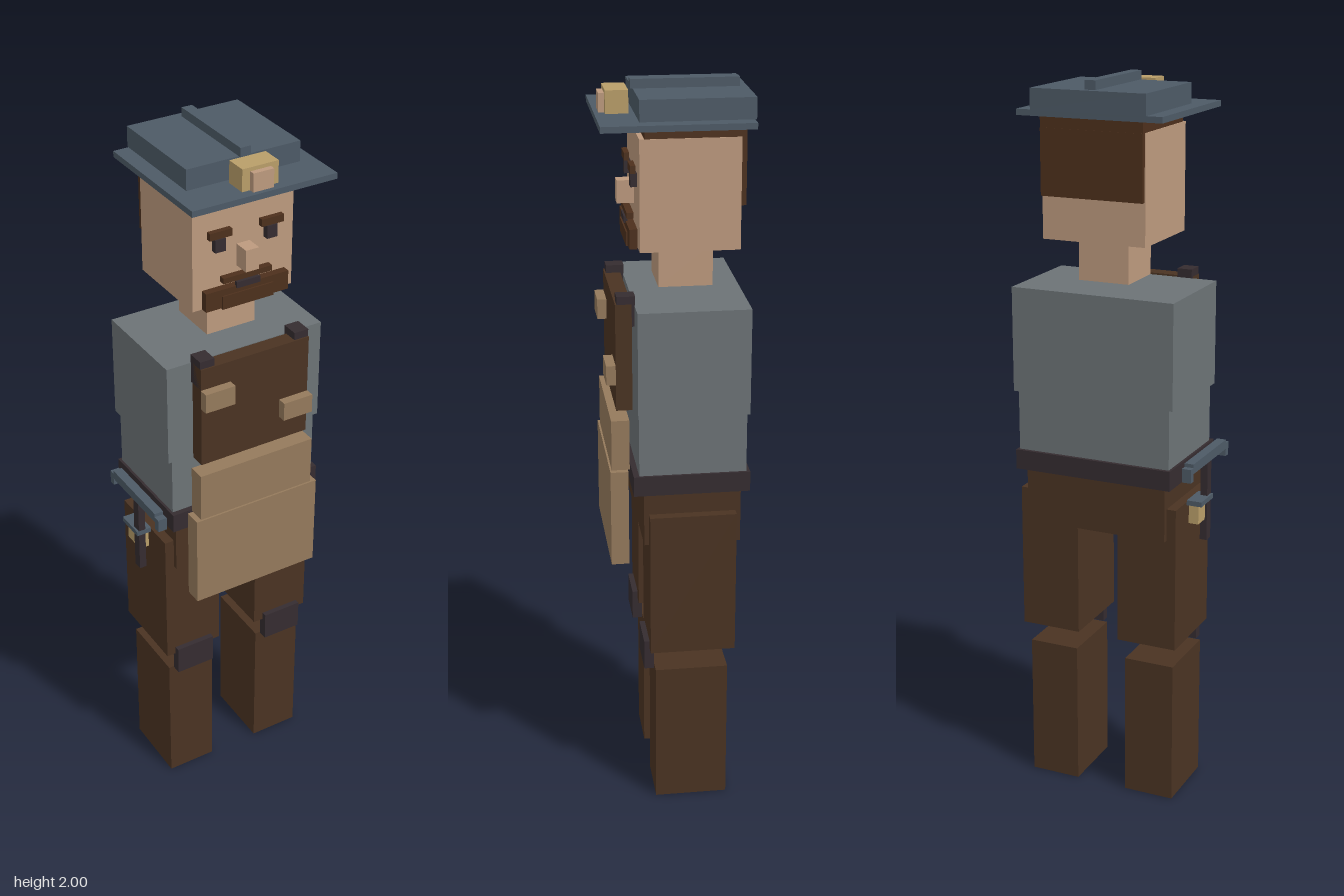
import * as THREE from 'three';

const mat = (name, color) => {
  const m = new THREE.MeshStandardMaterial({ color });
  m.name = name;
  return m;
};

export function createModel() {
  const brown = mat('dark brown leather', 0x4a3322);
  const tan = mat('tan leather', 0x957a5c);
  const skin = mat('skin', 0xbd9a7e);
  const grey = mat('grey cloth', 0x6c7376);
  const blue = mat('blue steel', 0x4d5a66);
  const brass = mat('brass', 0xb99e69);
  const dark = mat('near black', 0x352c30);
  const hair = mat('hair brown', 0x4d301c);

  const model = new THREE.Group();
  model.name = 'worker';
  const CX = 0.02; // body centre line

  const group = (name) => {
    const g = new THREE.Group();
    g.name = name;
    model.add(g);
    return g;
  };
  // Box given by its limits on each axis
  const box = (parent, name, m, [x0, x1], [y0, y1], [z0, z1]) => {
    const mesh = new THREE.Mesh(new THREE.BoxGeometry(x1 - x0, y1 - y0, z1 - z0), m);
    mesh.position.set((x0 + x1) / 2, (y0 + y1) / 2, (z0 + z1) / 2);
    mesh.name = name;
    parent.add(mesh);
  };
  // Box centred on the body line, given by half width
  const mid = (parent, name, m, half, y, z) => box(parent, name, m, [CX - half, CX + half], y, z);
  // Mirrored pair, given by offset from the body line and half width
  const pair = (parent, name, m, off, half, y, z) => {
    for (const [side, s] of [['left', 1], ['right', -1]]) {
      const c = CX + s * off;
      box(parent, side + name, m, [c - half, c + half], y, z);
    }
  };

  // Legs
  const legs = group('legs');
  pair(legs, 'LowerLeg', brown, 0.147, 0.072, [0, 0.41], [-0.135, 0.065]);
  pair(legs, 'KneePad', dark, 0.147, 0.058, [0.41, 0.495], [0.068, 0.095]);
  pair(legs, 'UpperLeg', brown, 0.146, 0.086, [0.472, 0.88], [-0.153, 0.08]);
  mid(legs, 'hips', brown, 0.205, [0.79, 0.945], [-0.167, 0.093]);

  // Torso
  const torso = group('torso');
  mid(torso, 'belt', dark, 0.228, [0.945, 1.0], [-0.188, 0.122]);
  mid(torso, 'lowerShirt', grey, 0.221, [1.0, 1.165], [-0.178, 0.107]);
  mid(torso, 'upperShirt', grey, 0.233, [1.165, 1.452], [-0.184, 0.11]);

  // Apron with bib, straps and patches
  const apron = group('apron');
  mid(apron, 'bib', brown, 0.162, [1.165, 1.455], [0.117, 0.16]);
  pair(apron, 'Strap', dark, 0.141, 0.021, [1.395, 1.476], [0.108, 0.156]);
  box(apron, 'upperPatch', tan, [-0.143, -0.055], [1.34, 1.395], [0.16, 0.185]);
  box(apron, 'lowerPatch', tan, [0.095, 0.183], [1.237, 1.29], [0.16, 0.185]);
  mid(apron, 'waistPanel', tan, 0.173, [1.0, 1.14], [0.127, 0.175]);
  mid(apron, 'skirtPanel', tan, 0.189, [0.73, 1.0], [0.132, 0.18]);

  // Head and face
  const head = group('head');
  mid(head, 'neck', skin, 0.072, [1.47, 1.585], [-0.106, 0.037]);
  mid(head, 'skull', skin, 0.146, [1.585, 1.875], [-0.166, 0.093]);
  mid(head, 'hairTop', hair, 0.144, [1.875, 1.905], [-0.178, 0.08]);
  mid(head, 'hairBack', hair, 0.144, [1.7, 1.875], [-0.179, -0.166]);
  pair(head, 'Eye', dark, 0.075, 0.015, [1.742, 1.777], [0.093, 0.11]);
  pair(head, 'Eyebrow', hair, 0.075, 0.032, [1.78, 1.8], [0.098, 0.112]);
  mid(head, 'nose', skin, 0.019, [1.683, 1.743], [0.093, 0.138]);
  mid(head, 'moustache', hair, 0.071, [1.655, 1.67], [0.1, 0.118]);
  mid(head, 'mouth', dark, 0.034, [1.635, 1.652], [0.112, 0.122]);
  mid(head, 'beard', hair, 0.121, [1.588, 1.64], [0.096, 0.117]);
  mid(head, 'chinBeard', hair, 0.075, [1.585, 1.622], [0.098, 0.121]);

  // Hat
  const hat = group('hat');
  mid(hat, 'brim', blue, 0.204, [1.905, 1.921], [-0.194, 0.195]);
  mid(hat, 'crown', blue, 0.161, [1.921, 1.976], [-0.199, 0.094]);
  mid(hat, 'ridge', blue, 0.015, [1.976, 2.0], [-0.18, 0.101]);
  mid(hat, 'lampHousing', brass, 0.051, [1.895, 1.98], [0.109, 0.168]);
  mid(hat, 'lampLens', skin, 0.029, [1.92, 1.97], [0.168, 0.183]);

  // Pick and small lantern hung on the right hip
  const tool = group('hipTool');
  const tx = [-0.253, -0.227];
  box(tool, 'pickHead', blue, tx, [0.983, 1.01], [-0.132, 0.101]);
  box(tool, 'pickBackTip', blue, tx, [0.962, 1.0], [-0.15, -0.132]);
  box(tool, 'pickFrontTip', blue, tx, [0.962, 1.0], [0.101, 0.12]);
  box(tool, 'pickHandle', dark, [-0.25, -0.23], [0.757, 0.983], [-0.025, 0.002]);
  box(tool, 'lanternBody', brass, [-0.244, -0.216], [0.818, 0.872], [-0.072, -0.006]);
  box(tool, 'lanternCap', blue, [-0.256, -0.213], [0.872, 0.886], [-0.08, 0.003]);

  return model;
}
